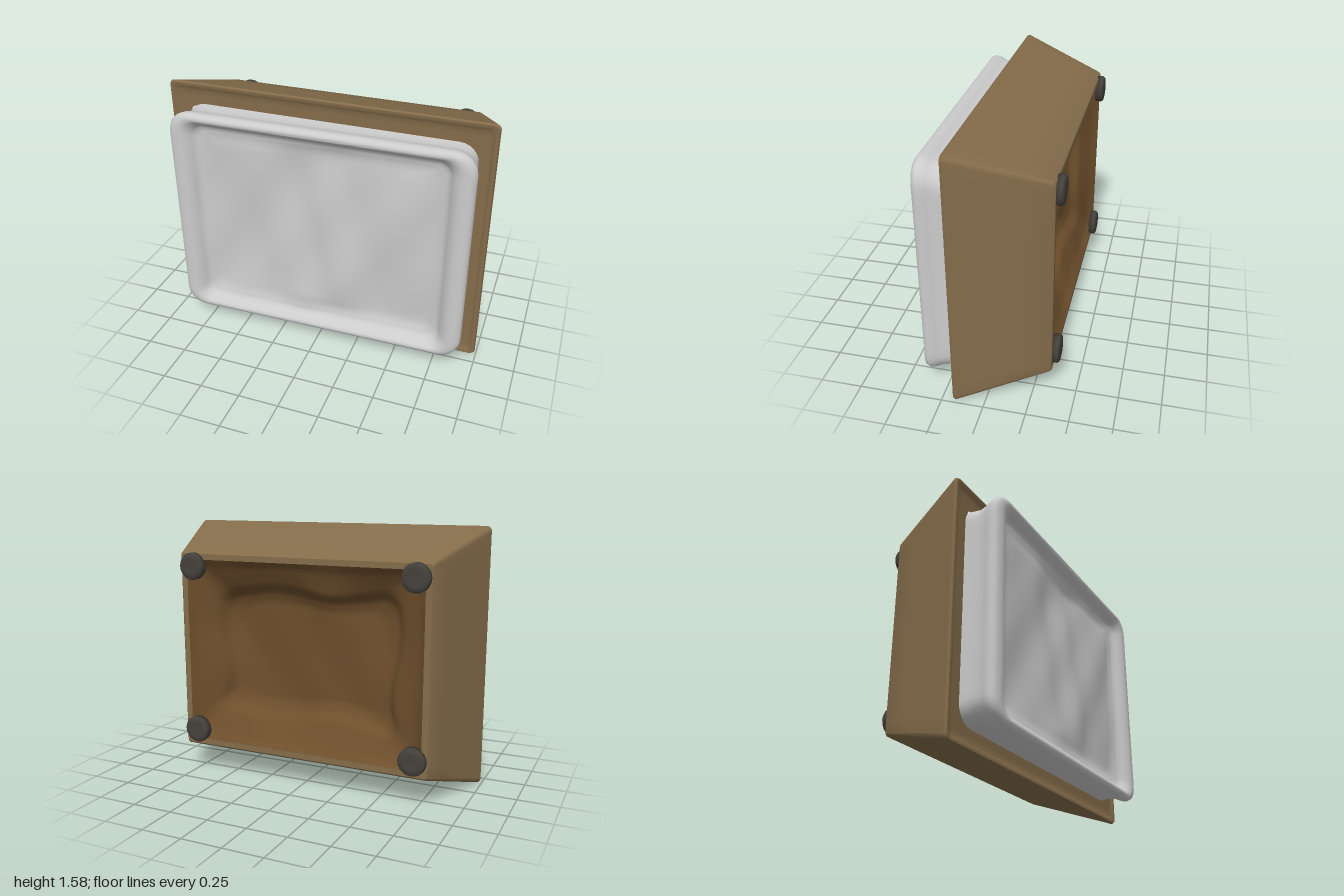
import * as THREE from 'three';
import { mergeVertices, toCreasedNormals } from 'three/addons/utils/BufferGeometryUtils.js';

const CY = 0.796; // height of the centre

// Rounded rectangle, counter-clockwise seen from +z, always the same point count
function loop(hx, hy, r) {
  const pts = [], corner = 6, side = 20;
  const signs = [[1, 1], [-1, 1], [-1, -1], [1, -1]];
  const arc = (q, t) => {
    const a = (q + t) * Math.PI / 2;
    return [signs[q][0] * (hx - r) + r * Math.cos(a), signs[q][1] * (hy - r) + r * Math.sin(a)];
  };
  for (let q = 0; q < 4; q++) {
    for (let i = 0; i < corner; i++) pts.push(arc(q, i / corner));
    const a = arc(q, 1), b = arc((q + 1) % 4, 0);
    for (let i = 0; i < side; i++) {
      const t = i / side;
      pts.push([a[0] + (b[0] - a[0]) * t, a[1] + (b[1] - a[1]) * t]);
    }
  }
  return pts;
}

// Skin through rounded rectangles [halfWidth, halfHeight, radius, z, steps to here]
function loft(sections, move, crease) {
  const rings = [];
  sections.forEach((s, k) => {
    const steps = k ? s[4] : 1, p = k ? sections[k - 1] : s;
    for (let i = 1; i <= steps; i++) {
      const v = [0, 1, 2, 3].map(j => p[j] + (s[j] - p[j]) * i / steps);
      rings.push(loop(v[0], v[1], v[2]).map(([x, y]) => move(x, y, v[3])));
    }
  });
  const n = rings[0].length, index = [];
  for (let i = 0; i < rings.length - 1; i++) {
    for (let k = 0; k < n; k++) {
      const a = i * n + k, b = i * n + (k + 1) % n, c = a + n, d = b + n;
      index.push(a, c, b, b, c, d);
    }
  }
  let g = new THREE.BufferGeometry();
  g.setAttribute('position', new THREE.Float32BufferAttribute(rings.flat(2), 3));
  g.setIndex(index);
  g = mergeVertices(g, 1e-5);
  return toCreasedNormals(g, crease);
}

const wrinkle = (x, y) =>
  0.5 * Math.sin(5 * x - 7 * y + 1.5 * Math.sin(3 * y)) +
  0.3 * Math.sin(11 * x + 4 * y + 2 * Math.sin(4 * x)) +
  0.2 * Math.sin(9 * y - 13 * x);

export function createModel() {
  const model = new THREE.Group();
  const add = (name, geometry, color) => {
    const mesh = new THREE.Mesh(geometry, new THREE.MeshStandardMaterial({ color }));
    mesh.name = name;
    model.add(mesh);
    return mesh;
  };

  // Tapered wooden case
  add('woodenCase', loft([
    [0.86, 0.64, 0.03, 0.172],
    [0.95, 0.745, 0.03, 0.172, 3],
    [0.97, 0.768, 0.03, 0.183, 2],
    [0.986, 0.784, 0.03, 0.183, 1],
    [0.993, 0.79, 0.03, 0.168, 1],
    [0.815, 0.62, 0.02, -0.35, 4],
    [0.805, 0.61, 0.02, -0.36, 1],
    [0.77, 0.575, 0.03, -0.36, 1],
  ], (x, y, z) => [x, y + CY, z], 0.5), 0x846c4a);

  // Rough dished hollow at the back: sloping ledge, then a deeper floor
  add('backHollow', loft([
    [0.77, 0.575, 0.03, -0.36],
    [0.73, 0.535, 0.05, -0.325, 3],
    [0.6, 0.41, 0.09, -0.26, 5],
    [0.55, 0.36, 0.1, -0.2, 4],
    [0.48, 0.3, 0.1, -0.175, 3],
    [0, 0, 0, -0.17, 12],
  ], (x, y, z) => {
    const w = Math.min(1, (z + 0.36) * 10);
    return [x * (1 + 0.04 * w * Math.sin(9 * y)), y * (1 + 0.06 * w * Math.sin(8 * x)) + CY,
      z + 0.025 * w * wrinkle(x, y)];
  }, 1.2), 0x6e4f2c);

  // Soft padded cushion with a raised rim and a wrinkled, sunken middle
  add('cushion', loft([
    [0, 0, 0, 0.315],
    [0.7, 0.54, 0.06, 0.315, 18],
    [0.76, 0.6, 0.07, 0.33, 3],
    [0.795, 0.63, 0.08, 0.372, 2],
    [0.83, 0.65, 0.09, 0.391, 2],
    [0.87, 0.667, 0.1, 0.391, 2],
    [0.9, 0.682, 0.12, 0.38, 2],
    [0.914, 0.69, 0.13, 0.355, 2],
    [0.908, 0.685, 0.13, 0.325, 2],
    [0.893, 0.668, 0.12, 0.29, 2],
    [0.885, 0.658, 0.12, 0.24, 2],
    [0.885, 0.665, 0.11, 0.16, 2],
  ], (x, y, z) => {
    const inside = Math.max(0, 1 - Math.max(Math.abs(x) / 0.82, Math.abs(y) / 0.63));
    const w = Math.min(1, inside * 5);
    return [x + 0.007, y + CY - 0.005, z - 0.012 * x + 0.025 * w * wrinkle(x, y)];
  }, 1.2), 0xc2c2c2);

  // Four round feet on the back corners
  for (const x of [-0.72, 0.72]) {
    for (const y of [0.285, 1.33]) {
      const profile = [[0, -0.01], [0.084, -0.01], [0.084, 0.025], [0.075, 0.037], [0.05, 0.041], [0, 0.036]];
      const foot = add('foot', new THREE.LatheGeometry(profile.map(p => new THREE.Vector2(...p)), 20), 0x45413c);
      foot.rotation.x = -Math.PI / 2;
      foot.position.set(x, y, -0.36);
    }
  }
  return model;
}
